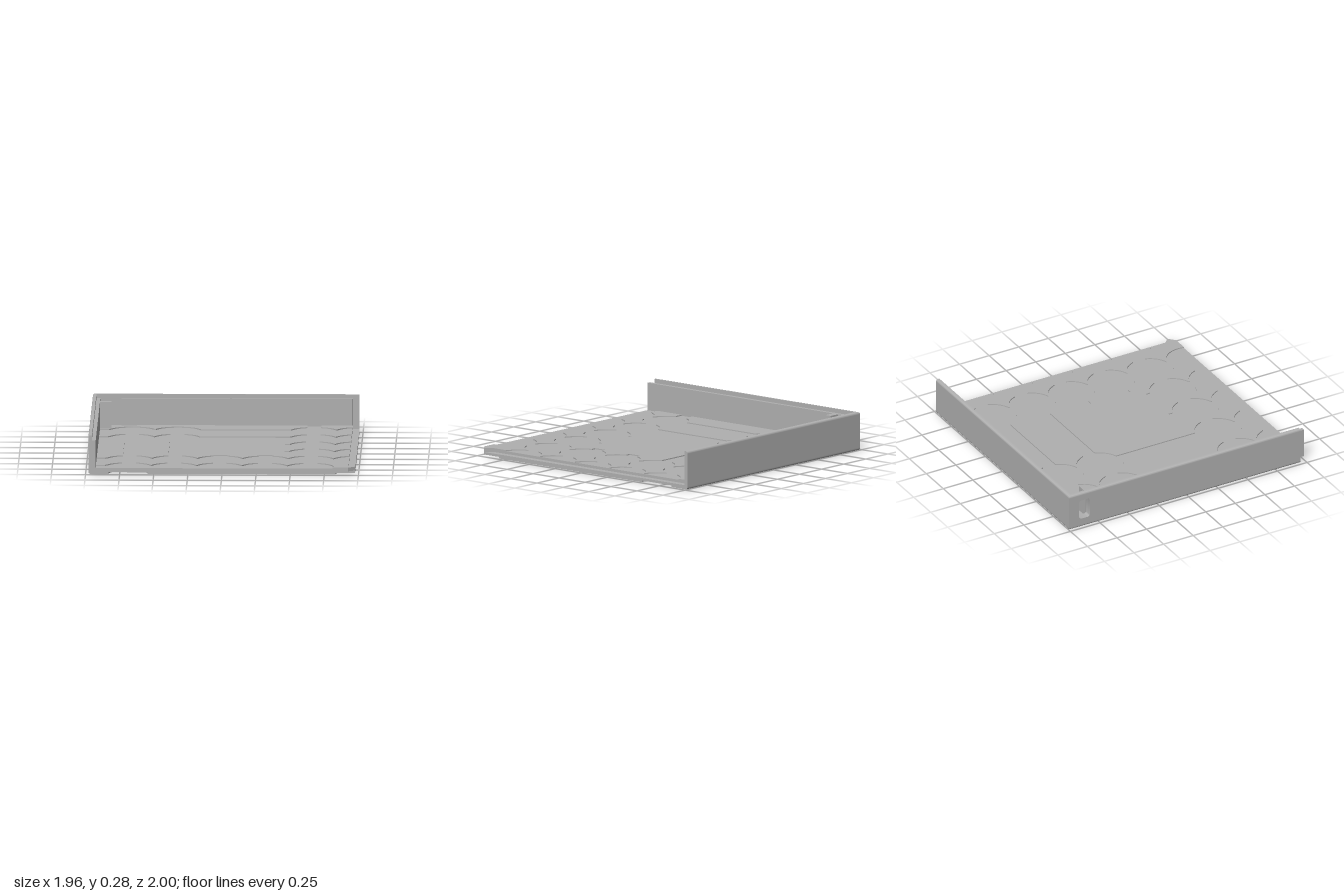
import * as THREE from 'three';
import { toCreasedNormals } from 'three/addons/utils/BufferGeometryUtils.js';

// Grid of round cells pressed into the floor
const PITCH = 0.3325, R = 0.172, HALF = 0.05, STUB = 0.2;
const cellX = i => -0.685 + PITCH * i;
const cellZ = j => -0.71 + PITCH * j;
const hasCell = (i, j) => ((i <= 1 && j <= 1) || i >= 4 || j >= 4) && !(i === 5 && j === 5);
const WALL = -1;

const shapeXZ = pts => new THREE.Shape(pts.map(([x, z]) => new THREE.Vector2(x, -z)));

// Flat slab from an x/z outline, between heights y0 and y1
function slab(pts, y0, y1, holes = []) {
  const shape = shapeXZ(pts);
  shape.holes = holes.map(h => new THREE.Path(h.map(([x, z]) => new THREE.Vector2(x, -z))));
  const geo = new THREE.ExtrudeGeometry(shape, { depth: y1 - y0, bevelEnabled: false });
  return toCreasedNormals(geo.rotateX(-Math.PI / 2).translate(0, y0, 0), 0.5);
}

// Arc points in x/z, angles in degrees
function arc(cx, cz, r, a0, a1, n = 32) {
  return Array.from({ length: n + 1 }, (_, k) => {
    const a = THREE.MathUtils.degToRad(a0 + (a1 - a0) * k / n);
    return [cx + r * Math.cos(a), cz + r * Math.sin(a)];
  });
}

// How far the cells centred at `centres` bite into a panel edge at position t
function bite(t, centres, stubs) {
  let d = HALF;
  for (const c of centres) {
    const u = Math.abs(t - c);
    if (u < R) d = Math.max(d, Math.sqrt(R * R - u * u));
    if (stubs.includes(c) && u <= HALF + 1e-6) d = STUB;
  }
  return d;
}

function samples(lo, hi, centres) {
  const ts = [lo, hi];
  for (let t = lo + 0.0165; t < hi - 0.005; t += 0.0165) ts.push(t);
  for (const c of centres) {
    for (const s of [-0.0502, -0.05, 0.05, 0.0502]) if (c + s > lo + 1e-4 && c + s < hi - 1e-4) ts.push(c + s);
  }
  return ts.sort((a, b) => a - b);
}

// Raised panel between columns a..b and rows c..d, bitten by the cells around it
function panel(a, b, c, d) {
  const x0 = a === WALL ? -0.925 : cellX(a) + HALF, x1 = cellX(b) - HALF;
  const z0 = c === WALL ? -0.95 : cellZ(c) + HALF, z1 = cellZ(d) - HALF;
  const centre = a === 1 && b === 4 && c === 1 && d === 4;
  const span = (lo, hi, test, pos) => {
    const out = [];
    for (let i = Math.max(lo, 0); i <= hi; i++) if (test(i)) out.push(pos(i));
    return out;
  };
  const along = (lo, hi, line, at, dir, row, stubs) => {
    const cs = span(row ? a : c, row ? b : d, i => line !== WALL && (row ? hasCell(i, line) : hasCell(line, i)), row ? cellX : cellZ);
    return samples(lo, hi, cs).map(t => [t, line === WALL ? at : at + dir * bite(t, cs, stubs)]);
  };
  const top = along(x0, x1, c, c === WALL ? -0.95 : cellZ(c), 1, true, []);
  const bottom = along(x0, x1, d, cellZ(d), -1, true, centre ? [cellX(2), cellX(3)] : []).reverse();
  const between = (pts, lo, hi) => pts.filter(p => p[0] > lo + 0.004 && p[0] < hi - 0.004).map(([z, x]) => [x, z]);
  const right = between(along(z0, z1, b, cellX(b), -1, false, centre ? [cellZ(2), cellZ(3)] : []),
    top[top.length - 1][1], bottom[0][1]);
  const left = between(along(z0, z1, a, a === WALL ? x0 : cellX(a), 1, false, []),
    top[0][1], bottom[bottom.length - 1][1]).reverse();
  return [...top, ...right, ...bottom, ...left];
}

// Rounded rail along the outside edge of a wall, mitred at its start
function rail(y0, y1, length, thick, roundTop, sign) {
  const r = 0.015, pts = [[thick, y0], [thick, y1]];
  const cy = roundTop ? y1 - r : y0 + r;
  const corner = arc(r, cy, r, roundTop ? 90 : 180, roundTop ? 180 : 270, 6);
  if (roundTop) pts.push(...corner, [0, y0]);
  else pts.push([0, y1], ...corner);
  const shape = new THREE.Shape(pts.map(([d, y]) => new THREE.Vector2(sign * d, y)));
  const geo = new THREE.ExtrudeGeometry(shape, { depth: length, bevelEnabled: false });
  const p = geo.attributes.position;
  for (let i = 0; i < p.count; i++) if (p.getZ(i) < 1e-6) p.setZ(i, Math.abs(p.getX(i)));
  if (sign < 0) geo.rotateY(Math.PI / 2);
  geo.translate(-0.98, 0, -1);
  geo.computeVertexNormals();
  return toCreasedNormals(geo, 0.6);
}

// Upright plate in the z/y plane with the rounded port cut through it
function portedPlate(x0, x1, z0, z1, y0, y1) {
  const shape = new THREE.Shape([[z0, y0], [z1, y0], [z1, y1], [z0, y1]].map(([z, y]) => new THREE.Vector2(-z, y)));
  const [a, b, lo, hi, r] = [0.825, 0.915, 0.068, 0.222, 0.018];
  const hole = new THREE.Path();
  hole.absarc(b - r, hi - r, r, 0, Math.PI / 2);
  hole.absarc(a + r, hi - r, r, Math.PI / 2, Math.PI);
  hole.absarc(a + r, lo + r, r, Math.PI, Math.PI * 1.5);
  hole.absarc(b - r, lo + r, r, Math.PI * 1.5, Math.PI * 2);
  shape.holes.push(hole);
  const geo = new THREE.ExtrudeGeometry(shape, { depth: x1 - x0, bevelEnabled: false, curveSegments: 6 });
  return toCreasedNormals(geo.rotateY(Math.PI / 2).translate(x0, 0, 0), 0.6);
}

export function createModel() {
  const group = new THREE.Group();
  group.name = 'cornerTray';
  const grey = new THREE.MeshStandardMaterial({ color: 0xb0b0b0 });
  grey.name = 'grey';
  const add = (name, geo) => {
    const mesh = new THREE.Mesh(geo, grey);
    mesh.name = name;
    group.add(mesh);
  };
  const box = (name, x0, x1, y0, y1, z0, z1) => add(name,
    new THREE.BoxGeometry(x1 - x0, y1 - y0, z1 - z0).translate((x0 + x1) / 2, (y0 + y1) / 2, (z0 + z1) / 2));

  const T = 0.027, xi = -0.98 + T, zi = -1 + T, H = 0.285;

  // Underside with shallow round foot recesses
  add('footRecessLayer', slab([
    [xi, zi], [0.975, zi],
    ...arc(0.975, -0.705, 0.143, -90, -270),
    ...arc(0.975, 0.955, 0.143, -90, -180, 16),
    ...arc(-0.688, 0.955, 0.143, 0, -180),
    [xi, 0.955],
  ], 0, 0.012, [arc(-0.688, -0.705, 0.143, 0, 352.5, 47)]));
  box('lowerFloor', xi, 0.975, 0.012, 0.03, zi, 0.955);

  // Upper floor, offset to form the lap joint
  add('upperFloor', slab([[xi, zi], [0.925, zi], [0.925, 0.905], [0.975, 0.955], [0.925, 1], [xi, 1]], 0.03, 0.05));

  // Raised panels between the pressed cells
  const blocks = [
    [WALL, 0, 0, 1], [WALL, 0, 1, 4], [WALL, 0, 4, 5], [0, 1, 0, 1], [0, 1, 1, 4], [1, 4, 0, 1], [1, 4, 1, 4],
    [4, 5, WALL, 0], [4, 5, 0, 1], [4, 5, 1, 2], [4, 5, 2, 3], [4, 5, 3, 4],
    [0, 1, 4, 5], [1, 2, 4, 5], [2, 3, 4, 5], [3, 4, 4, 5],
  ];
  for (const b of blocks) add('floorPanel', slab(panel(...b), 0.05, 0.058));
  add('rearFloorPanel', slab(panel(WALL, 4, WALL, 0), 0.05, 0.058, [[
    [-0.92, -0.933], [-0.655, -0.933], [-0.655, -0.91], [-0.84, -0.91], [-0.84, -0.835], [-0.92, -0.835],
  ]]));

  // Corner panel reaching the floor's pointed corner
  const upper = panel(4, 5, 3, 4).length && samples(cellX(4) + HALF, cellX(5) - HALF, []).map(x =>
    [x, cellZ(4) + bite(x, [cellX(4), cellX(5)], [])]);
  const a = THREE.MathUtils.radToDeg(Math.asin((1 - cellZ(5)) / R));
  add('cornerFloorPanel', slab([
    ...upper, [0.925, 0.905], [0.975, 0.955], [0.925, 1],
    ...arc(cellX(4), cellZ(5), R, a, -73, 20),
  ], 0.05, 0.058));

  // Outer walls: rounded rails with flat plates between
  for (const [name, sign, length] of [['right', 1, 1.955], ['back', -1, 1.955]]) {
    add(name + 'BottomRail', rail(0, 0.02, length, T, false, sign));
    add(name + 'TopRail', rail(H - 0.02, H, length, T, true, sign));
  }
  add('rightOuterWall', portedPlate(-0.98, xi, -1, 0.955, 0.02, H - 0.02));
  box('backOuterWall', xi, 0.975, 0.02, H - 0.02, -1, zi);

  // Lower inner walls
  add('rightInnerWall', portedPlate(xi, -0.925, zi, 1, 0.05, 0.255));
  box('backInnerWall', -0.77, 0.925, 0.05, 0.255, zi, -0.95);

  // Post beside the port
  box('portPost', -0.925, -0.84, 0.05, 0.255, -0.835, -0.785);
  return group;
}
